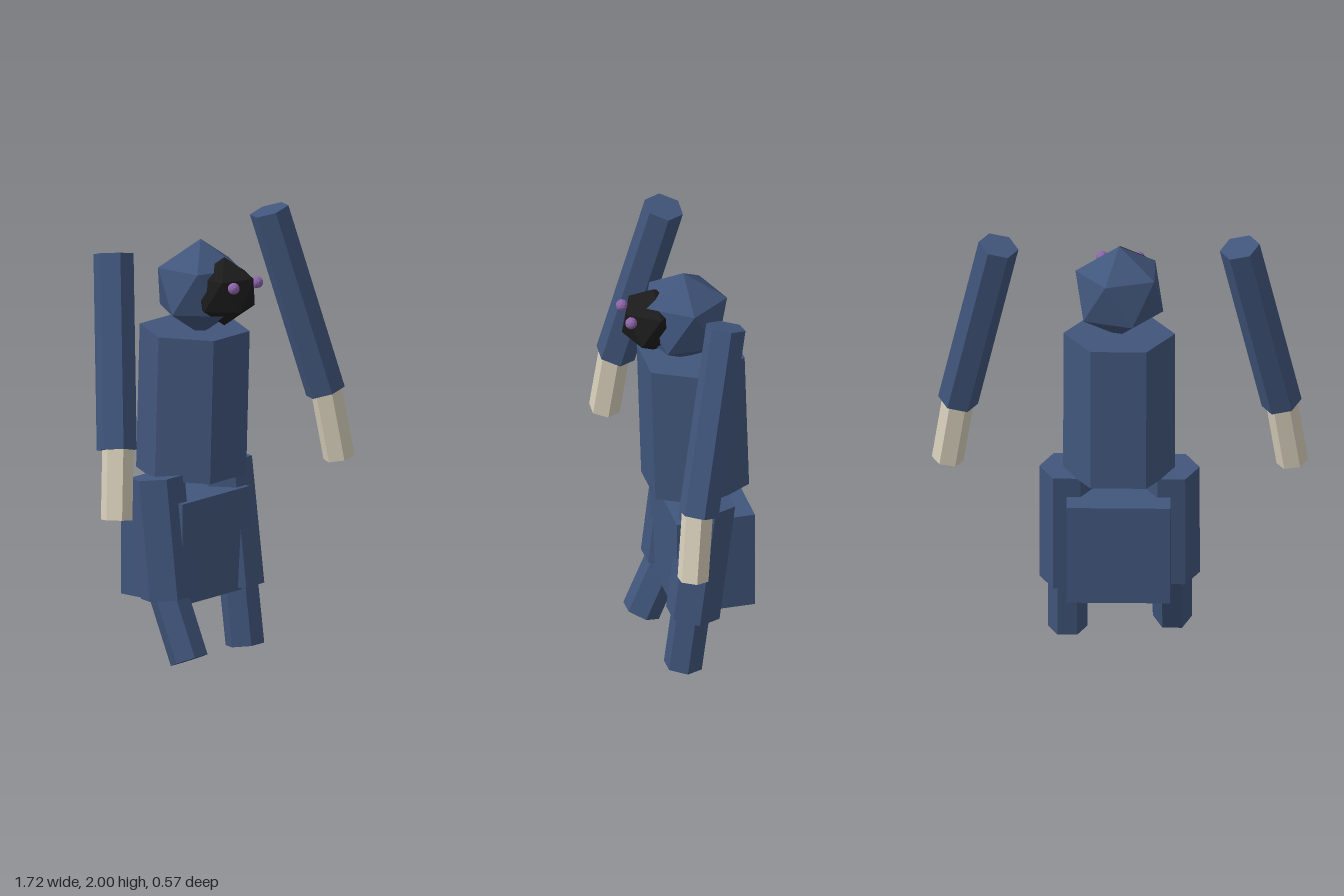
import * as THREE from 'three';
import { ConvexGeometry } from 'three/addons/geometries/ConvexGeometry.js';

function material(name, color) {
  const m = new THREE.MeshStandardMaterial({ color, flatShading: true });
  m.name = name;
  return m;
}

export function createModel() {
  const navy = material('navy', 0x41567c);
  const cream = material('cream', 0xd9d0bc);
  const black = material('black', 0x1b1b1b);
  const purple = material('purple', 0x8c64a8);
  const model = new THREE.Group();
  model.name = 'figure';

  function add(name, geometry, mat, x = 0, y = 0, z = 0) {
    const mesh = new THREE.Mesh(geometry, mat);
    mesh.name = name;
    mesh.position.set(x, y, z);
    model.add(mesh);
    return mesh;
  }

  // Six-sided prism between two points, with corners towards the sides
  function prism(name, mat, radius, top, bottom) {
    const a = new THREE.Vector3(...top);
    const b = new THREE.Vector3(...bottom);
    const axis = a.clone().sub(b);
    const geometry = new THREE.CylinderGeometry(radius, radius, axis.length(), 6);
    geometry.rotateY(Math.PI / 6);
    const mid = a.add(b).multiplyScalar(0.5);
    const mesh = add(name, geometry, mat, mid.x, mid.y, mid.z);
    mesh.quaternion.setFromUnitVectors(new THREE.Vector3(0, 1, 0), axis.normalize());
  }

  // Icosahedron standing on one corner
  function uprightIcosahedron(radius) {
    const h = radius / Math.sqrt(5);
    const points = [new THREE.Vector3(0, radius, 0), new THREE.Vector3(0, -radius, 0)];
    for (let i = 0; i < 5; i++) {
      const t = (i * Math.PI * 2) / 5;
      const p = new THREE.Vector3(2 * h * Math.cos(t), h, 2 * h * Math.sin(t));
      points.push(p, p.clone().negate());
    }
    return new ConvexGeometry(points);
  }

  // Head, face and eyes
  add('head', uprightIcosahedron(0.224), navy, 0, 1.73, -0.01);
  add('face', uprightIcosahedron(0.16), black, 0, 1.73, 0.132);
  for (const s of [-1, 1]) {
    add(s > 0 ? 'leftEye' : 'rightEye', new THREE.IcosahedronGeometry(0.028, 1), purple, s * 0.083, 1.777, 0.258);
  }

  // Body
  prism('torso', navy, 0.255, [0, 1.533, -0.045], [0, 0.858, -0.066]);
  add('hips', new THREE.BoxGeometry(0.474, 0.475, 0.368), navy, 0, 0.527, -0.101);

  // Arms and hands
  for (const s of [-1, 1]) {
    const side = s > 0 ? 'left' : 'right';
    prism(side + 'Arm', navy, 0.093, [s * 0.55, 1.978, -0.065], [s * 0.738, 1.12, 0.113]);
    prism(side + 'Hand', cream, 0.073, [s * 0.735, 1.14, 0.118], [s * 0.786, 0.807, 0.153]);
  }

  // Legs, the right one bent forward at the knee
  prism('leftThigh', navy, 0.127, [0.237, 0.875, -0.066], [0.237, 0.29, 0.008]);
  prism('leftShin', navy, 0.09, [0.237, 0.33, 0.014], [0.237, 0.018, 0.055]);
  prism('rightThigh', navy, 0.127, [-0.24, 0.875, -0.066], [-0.24, 0.318, 0.0]);
  prism('rightShin', navy, 0.09, [-0.24, 0.335, 0.0], [-0.24, 0.042, 0.125]);

  return model;
}
